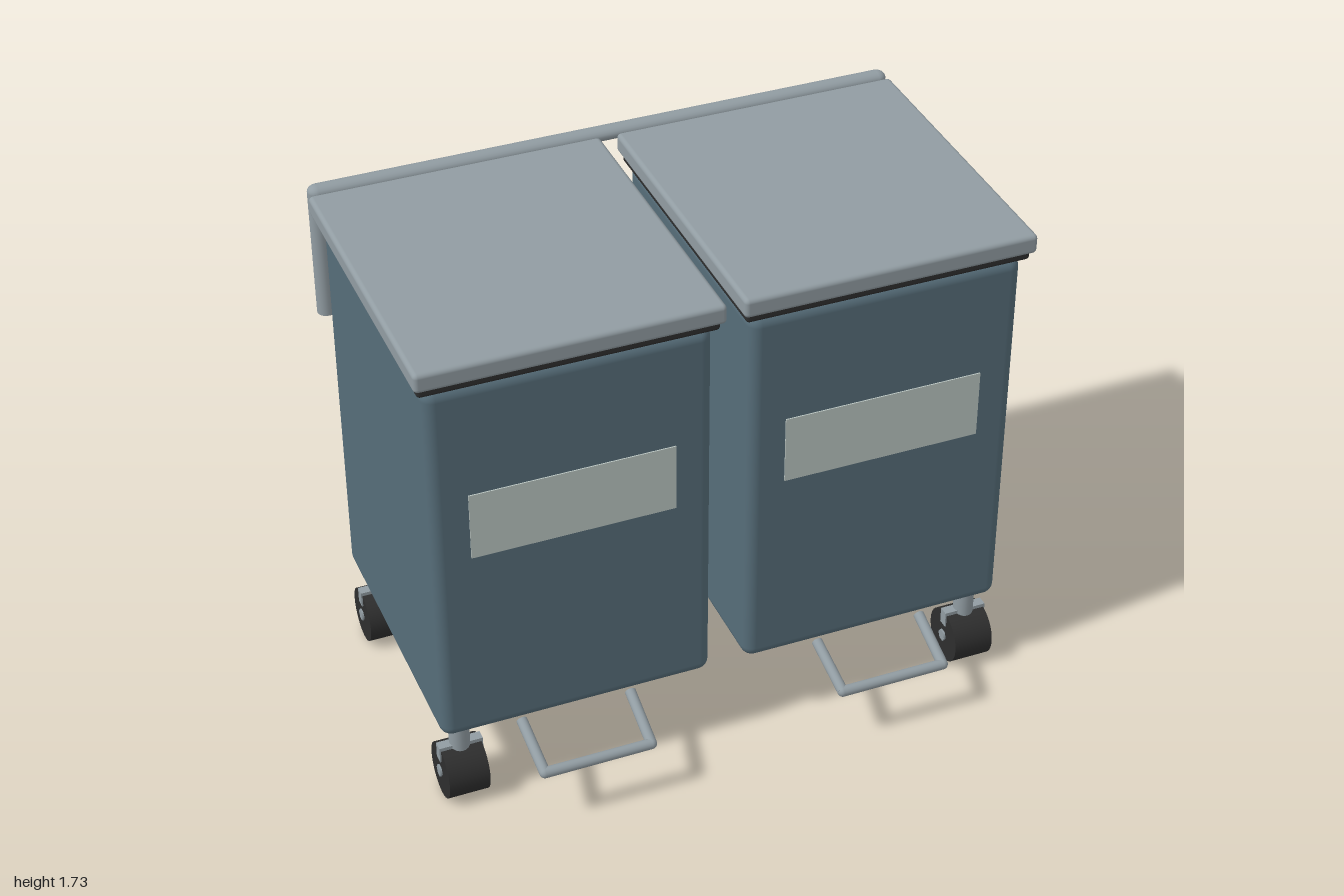
import * as THREE from 'three';
import { RoundedBoxGeometry } from 'three/addons/geometries/RoundedBoxGeometry.js';

function material(name, color) {
  const m = new THREE.MeshStandardMaterial({ color });
  m.name = name;
  return m;
}

export function createModel() {
  const bodyBlue = material('slate blue', 0x566d79);
  const metal = material('grey metal', 0x919ca2);
  const black = material('black rubber', 0x2e2e2e);
  const labelGrey = material('pale label', 0xbac5c1);

  const model = new THREE.Group();
  model.name = 'doubleBin';

  function add(parent, name, geometry, mat, x = 0, y = 0, z = 0) {
    const mesh = new THREE.Mesh(geometry, mat);
    mesh.name = name;
    mesh.position.set(x, y, z);
    parent.add(mesh);
    return mesh;
  }

  // Straight round bar between two points
  function rod(parent, name, a, b, radius) {
    const from = new THREE.Vector3(...a), to = new THREE.Vector3(...b);
    const dir = to.clone().sub(from);
    const mesh = add(parent, name, new THREE.CylinderGeometry(radius, radius, dir.length(), 20), metal);
    mesh.position.copy(from).add(to).multiplyScalar(0.5);
    mesh.quaternion.setFromUnitVectors(new THREE.Vector3(0, 1, 0), dir.normalize());
    return mesh;
  }

  function caster(x, z) {
    const g = new THREE.Group();
    g.name = 'caster';
    g.position.set(x, 0.094, z);
    const wheel = add(g, 'wheel', new THREE.CylinderGeometry(0.094, 0.094, 0.136, 32), black);
    wheel.rotation.z = Math.PI / 2;
    const axle = add(g, 'axle', new THREE.CylinderGeometry(0.021, 0.021, 0.15, 6), metal);
    axle.rotation.z = Math.PI / 2;
    rod(g, 'stem', [0, 0.08, 0], [0, 0.21, 0], 0.034);
    // Fork bridging the wheel
    add(g, 'forkTop', new THREE.BoxGeometry(0.146, 0.014, 0.034), metal, 0, 0.098, 0);
    for (const s of [-1, 1])
      add(g, 'forkArm', new THREE.BoxGeometry(0.006, 0.056, 0.034), metal, s * 0.07, 0.077, 0);
    return g;
  }

  // Foot pedal: bent bar sloping down to the front
  function pedal(x) {
    const g = new THREE.Group();
    g.name = 'pedal';
    const r = 0.018, half = 0.18;
    rod(g, 'pedalBar', [x - half, 0.202, 0.618], [x + half, 0.202, 0.618], r);
    for (const s of [-1, 1]) {
      rod(g, 'pedalArm', [x + s * half, 0.202, 0.618], [x + s * (half + 0.005), 0.262, 0.422], r);
      add(g, 'pedalCorner', new THREE.SphereGeometry(r, 16, 10), metal, x + s * half, 0.202, 0.618);
    }
    return g;
  }

  for (const side of [-1, 1]) {
    const bin = new THREE.Group();
    bin.name = side > 0 ? 'leftBin' : 'rightBin';
    const x = side * 0.514;
    add(bin, 'body', new RoundedBoxGeometry(0.91, 1.33, 1.0, 4, 0.04), bodyBlue, x, 0.951, -0.05);
    add(bin, 'seal', new RoundedBoxGeometry(0.945, 0.04, 1.02, 3, 0.012), black, x, 1.632, -0.05);
    add(bin, 'lid', new RoundedBoxGeometry(0.972, 0.066, 1.06, 3, 0.015), metal, x, 1.676, -0.05);
    add(bin, 'label', new THREE.BoxGeometry(0.665, 0.235, 0.006), labelGrey, x, 1.103, 0.451);
    bin.add(pedal(x));
    for (const z of [0.37, -0.47]) bin.add(caster(side * 0.893, z));
    model.add(bin);
  }

  // Push handle along the back, with a hanging post at each end
  const handle = new THREE.Group();
  handle.name = 'handle';
  const hx = 0.963, hy = 1.702, hz = -0.605, hr = 0.031;
  const bar = rod(handle, 'handleBar', [-hx, hy, hz], [hx, hy, hz], hr);
  bar.scale.x = 0.75;
  for (const s of [-1, 1]) {
    rod(handle, 'handlePost', [s * hx, 1.255, hz], [s * hx, hy, hz], hr);
    const corner = add(handle, 'handleCorner', new THREE.SphereGeometry(hr, 20, 12), metal, s * hx, hy, hz);
    corner.scale.y = 0.75;
  }
  model.add(handle);

  return model;
}
